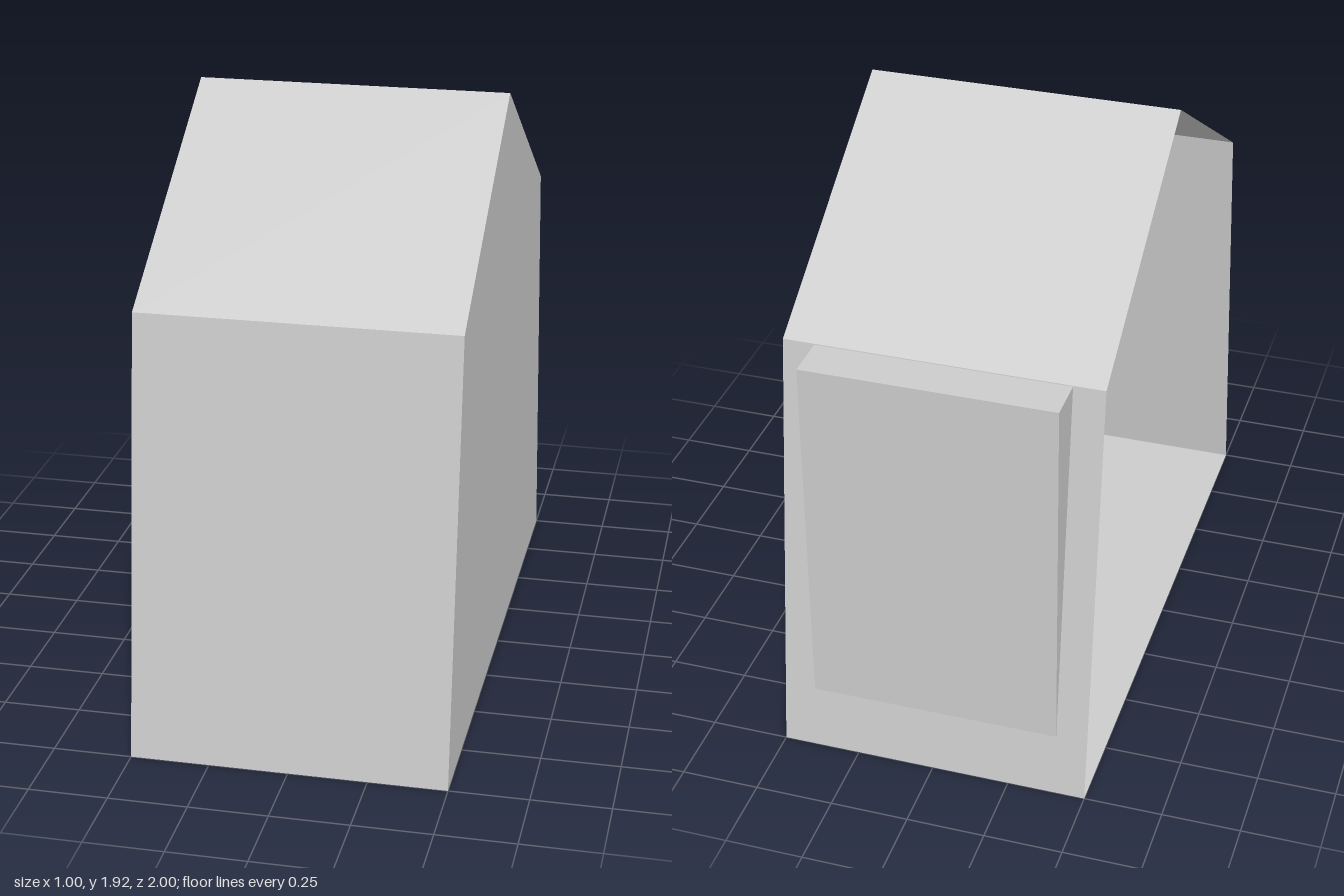
import * as THREE from 'three';

const HALF_WIDTH = 0.5;

// Cross-section as [z, y], running from the front foot over the ridge to the back foot
const PROFILE = [[1, 0], [0.83, 1.41], [0, 1.92], [-0.83, 1.41], [-1, 0]];
const PANEL_NAMES = ['frontWall', 'frontRoof', 'backRoof', 'backWall', 'floor'];

// Flat panel spanning the full width between two profile points
function panelGeometry([z0, y0], [z1, y1]) {
  const w = HALF_WIDTH;
  const geometry = new THREE.BufferGeometry();
  geometry.setAttribute('position', new THREE.Float32BufferAttribute([
    -w, y0, z0, w, y0, z0, w, y1, z1, -w, y1, z1,
  ], 3));
  geometry.setIndex([0, 1, 2, 0, 2, 3]);
  geometry.computeVertexNormals();
  return geometry;
}

export function createModel() {
  const group = new THREE.Group();
  group.name = 'house';

  const grey = new THREE.MeshStandardMaterial({ color: 0xcccccc, side: THREE.DoubleSide });
  grey.name = 'lightGrey';

  const add = (name, geometry) => {
    const mesh = new THREE.Mesh(geometry, grey);
    mesh.name = name;
    group.add(mesh);
    return mesh;
  };

  // Walls, roof slopes and floor of the thin shell
  PROFILE.forEach((point, i) => {
    add(PANEL_NAMES[i], panelGeometry(point, PROFILE[(i + 1) % PROFILE.length]));
  });

  // Closed gable on +x; the -x side stays open
  const gable = new THREE.Shape(PROFILE.map(([z, y]) => new THREE.Vector2(-z, y)));
  const gableWall = add('gableWall', new THREE.ShapeGeometry(gable));
  gableWall.rotation.y = Math.PI / 2;
  gableWall.position.x = HALF_WIDTH;

  // Upright box set through the sloping back wall
  const backBox = add('backBox', new THREE.BoxGeometry(0.8, 1.2, 0.195));
  backBox.position.set(0, 0.807, -0.878);

  return group;
}
